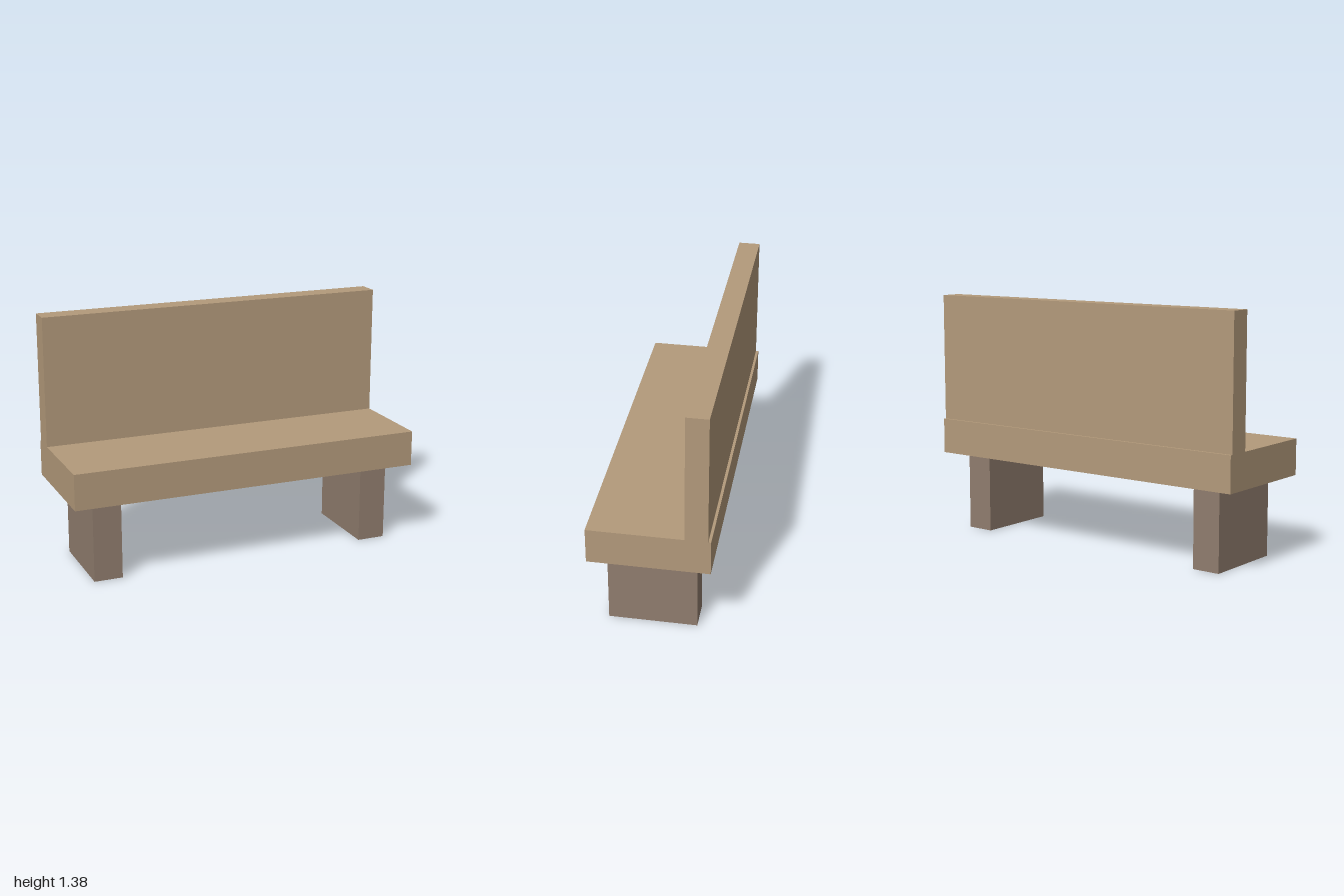
import * as THREE from 'three';

export function createModel() {
  const bench = new THREE.Group();
  bench.name = 'bench';

  const wood = new THREE.MeshStandardMaterial({ color: 0xb39a7b });
  wood.name = 'light wood';
  const darkWood = new THREE.MeshStandardMaterial({ color: 0x907d6e });
  darkWood.name = 'dark wood';

  // Box given by its size, its centre in x and z, and its underside
  function addBox(name, material, [w, h, d], [x, bottom, z]) {
    const mesh = new THREE.Mesh(new THREE.BoxGeometry(w, h, d), material);
    mesh.name = name;
    mesh.position.set(x, bottom + h / 2, z);
    bench.add(mesh);
  }

  // Thick seat slab and upright back panel
  addBox('seat', wood, [2, 0.2, 0.65], [0, 0.45, 0]);
  addBox('backrest', wood, [2, 0.725, 0.12], [0, 0.65, -0.25]);

  // Mirrored block legs
  for (const [name, side] of [['leftLeg', 1], ['rightLeg', -1]]) {
    addBox(name, darkWood, [0.16, 0.45, 0.48], [side * 0.8, 0, 0]);
  }

  return bench;
}
